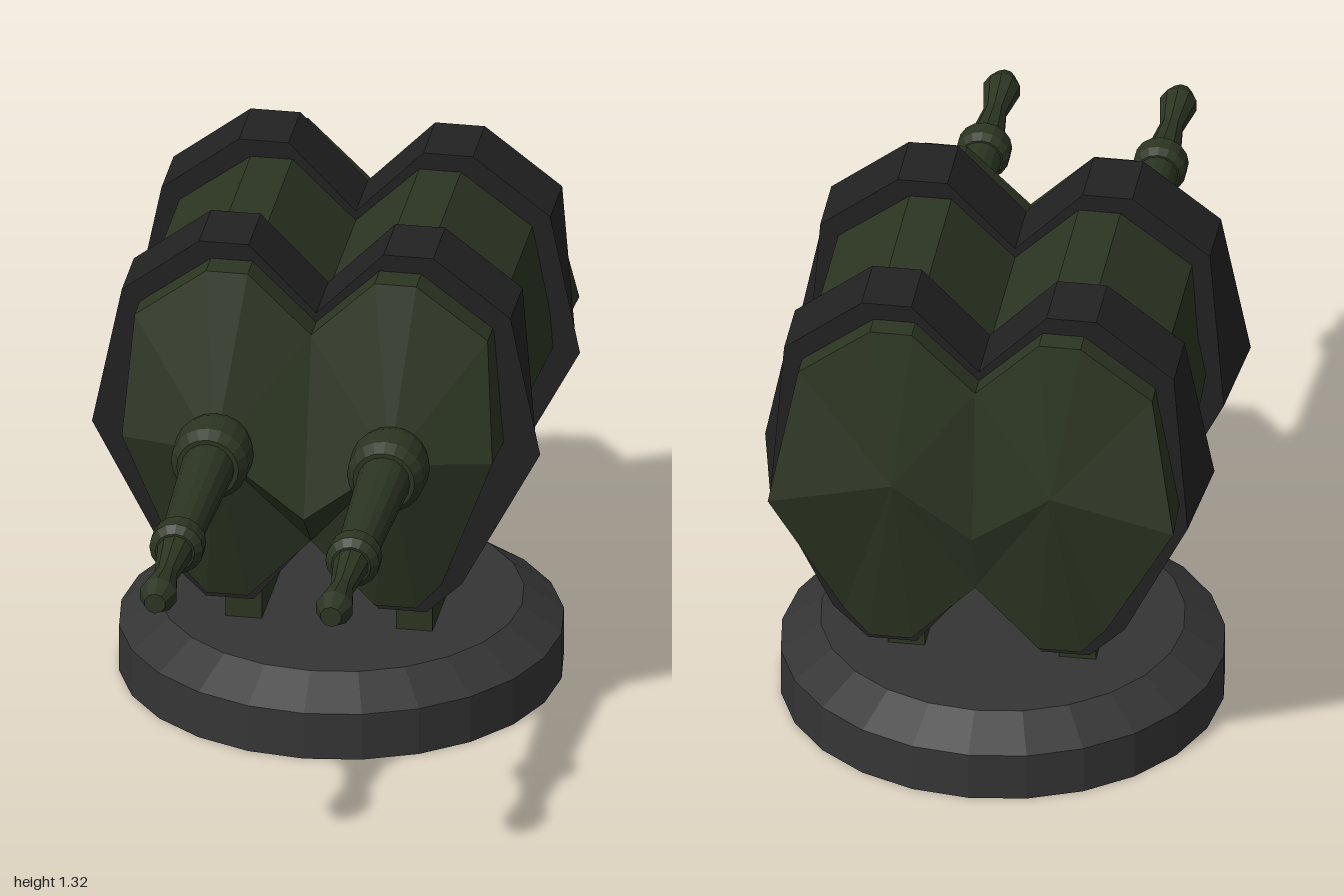
import * as THREE from 'three';

const material = (color) => new THREE.MeshStandardMaterial({ color, flatShading: true });

// Right half of a twin-lobed section, from the top notch round to the bottom notch.
const bodyHalf = [[0, 1.12], [0.16, 1.275], [0.265, 1.275], [0.445, 1.14], [0.48, 0.82],
  [0.33, 0.458], [0.265, 0.385], [0.16, 0.385], [0, 0.55]];
const bandHalf = [[0, 1.145], [0.17, 1.32], [0.295, 1.32], [0.49, 1.17], [0.565, 0.8],
  [0.367, 0.425], [0.278, 0.34], [0.157, 0.34], [0, 0.535]];

// A section at depth z; its widest corner, hub and centre valley can be moved separately.
function section(half, z, widest, hub, valley) {
  const right = half.map(([x, y], i) => (i === 4 ? widest : [x, y, z]));
  const left = right.slice(1, -1).reverse().map(([x, y, d]) => [-x, y, d]);
  return { loop: [...right, ...left], hub, valley };
}

// Joins two sections and closes each end with a fan per lobe.
function lobedSolid(front, back) {
  const pos = [];
  const tri = (a, b, c) => pos.push(...a, ...b, ...c);
  const n = front.loop.length;
  for (let i = 0; i < n; i++) {
    const j = (i + 1) % n;
    tri(front.loop[i], front.loop[j], back.loop[j]);
    tri(front.loop[i], back.loop[j], back.loop[i]);
  }
  for (const s of [front, back]) {
    for (const side of [1, -1]) {
      const start = side > 0 ? 0 : n / 2;
      const rim = [];
      for (let k = 0; k <= n / 2; k++) rim.push(s.loop[(start + k) % n]);
      rim.push(s.valley);
      const hub = [side * s.hub[0], s.hub[1], s.hub[2]];
      rim.forEach((p, k) => {
        const q = rim[(k + 1) % rim.length];
        if (s === front) tri(hub, q, p);
        else tri(hub, p, q);
      });
    }
  }
  const geometry = new THREE.BufferGeometry();
  geometry.setAttribute('position', new THREE.Float32BufferAttribute(pos, 3));
  geometry.computeVertexNormals();
  return geometry;
}

// Lathe along +z from [radius, z] pairs.
function turned(profile, sides) {
  const points = profile.map(([r, z]) => new THREE.Vector2(r, z));
  return new THREE.LatheGeometry(points, sides).rotateX(Math.PI / 2);
}

export function createModel() {
  const model = new THREE.Group();
  model.name = 'twinBarrelTurret';
  const green = material(0x2c3522);
  const black = material(0x222223);
  const grey = material(0x353535);

  const add = (name, geometry, mat, parent = model) => {
    const mesh = new THREE.Mesh(geometry, mat);
    mesh.name = name;
    parent.add(mesh);
    return mesh;
  };

  // Round base with a bevelled top
  const basePoints = [[0, 0], [0.555, 0], [0.555, 0.125], [0.455, 0.195], [0, 0.195]];
  const base = new THREE.LatheGeometry(basePoints.map((p) => new THREE.Vector2(...p)), 24);
  add('base', base, grey).position.z = -0.445;

  // Twin-lobed housing with pointed ends
  add('housing', lobedSolid(
    section(bodyHalf, 0, [0.467, 0.83, 0.06], [0.22, 0.84, 0.13], [0, 0.66, 0.11]),
    section(bodyHalf, -0.89, [0.51, 0.8, -0.965], [0.2, 0.87, -0.96], [0, 0.72, -0.94]),
  ), green);

  // Bands around the housing, tapering towards the back
  for (const [name, z, depth] of [['frontBand', -0.073, 0.177], ['rearBand', -0.655, 0.175]]) {
    const b = z - depth;
    add(name, lobedSolid(
      section(bandHalf, z, [0.565, 0.8, z], [0.22, 0.84, z], [0, 0.8, z]),
      section(bandHalf, b, [0.525, 0.735, b], [0.22, 0.84, b], [0, 0.8, b]),
    ), black);
  }

  for (const side of [1, -1]) {
    const label = side > 0 ? 'left' : 'right';

    // Support post
    const post = add(label + 'Post', new THREE.BoxGeometry(0.092, 0.3, 0.36), green);
    post.position.set(side * 0.215, 0.335, -0.44);

    // Barrel: mounting ring, tapered tube, collar and flared muzzle
    const barrel = new THREE.Group();
    barrel.name = label + 'Barrel';
    barrel.position.set(side * 0.222, 0.842, 0);
    model.add(barrel);
    add('mountingRing', turned([[0, 0.08], [0.085, 0.08], [0.1, 0.13], [0.097, 0.2],
      [0.078, 0.228], [0, 0.228]], 20), green, barrel);
    add('tube', turned([[0.068, 0.2], [0.05, 0.64]], 16), green, barrel);
    add('collar', turned([[0, 0.615], [0.055, 0.62], [0.068, 0.64], [0.068, 0.685],
      [0.05, 0.705], [0, 0.705]], 16), green, barrel);
    add('muzzle', turned([[0.046, 0.7], [0.03, 0.84], [0.048, 0.95], [0.027, 1],
      [0, 1]], 10), green, barrel);
  }
  return model;
}
